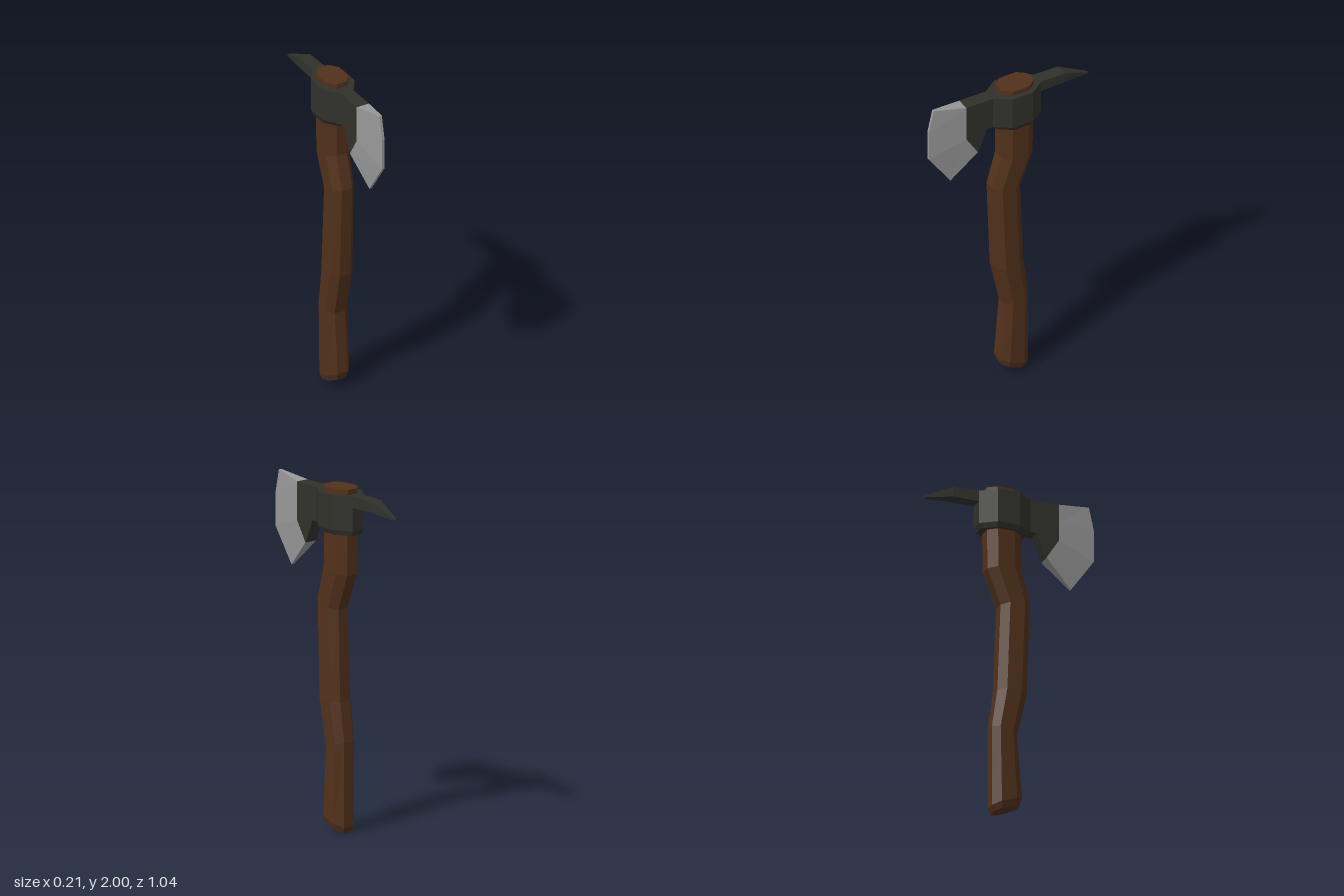
import * as THREE from 'three';

const wood = new THREE.MeshStandardMaterial({ color: 0x52311b, flatShading: true });
const iron = new THREE.MeshStandardMaterial({ color: 0x31312c, flatShading: true });
const steel = new THREE.MeshStandardMaterial({ color: 0x999999, flatShading: true });

// Skin a list of equal-sized rings of [x, y, z] and cap both ends; faces point outwards.
function loft(rings) {
  const tris = [];
  const n = rings[0].length;
  for (let r = 0; r < rings.length - 1; r++) {
    for (let i = 0; i < n; i++) {
      const j = (i + 1) % n;
      const [a, b, c, d] = [rings[r][i], rings[r][j], rings[r + 1][j], rings[r + 1][i]];
      tris.push([a, b, c], [a, c, d]);
    }
  }
  const first = rings[0], last = rings[rings.length - 1];
  for (let i = 1; i < n - 1; i++) {
    tris.push([first[0], first[i + 1], first[i]], [last[0], last[i], last[i + 1]]);
  }
  // A negative enclosed volume means the winding must be reversed.
  const v = (p) => new THREE.Vector3(...p);
  const volume = tris.reduce((s, [a, b, c]) => s + v(a).dot(v(b).cross(v(c))), 0);
  if (volume < 0) tris.forEach((t) => t.reverse());
  const geo = new THREE.BufferGeometry();
  geo.setAttribute('position', new THREE.Float32BufferAttribute(tris.flat(2), 3));
  geo.computeVertexNormals();
  return geo;
}

// Eight-sided ring between a front and a back point [z, y].
function octagon(front, back, halfX, flatX, t) {
  const at = (x, k) => [
    x,
    THREE.MathUtils.lerp(front[1], back[1], k),
    THREE.MathUtils.lerp(front[0], back[0], k),
  ];
  return [
    at(flatX, 0), at(halfX, t), at(halfX, 1 - t), at(flatX, 1),
    at(-flatX, 1), at(-halfX, 1 - t), at(-halfX, t), at(-flatX, 0),
  ];
}

function add(group, name, geometry, material) {
  const mesh = new THREE.Mesh(geometry, material);
  mesh.name = name;
  group.add(mesh);
}

export function createModel() {
  const axe = new THREE.Group();
  axe.name = 'axe';

  // Curved handle: front point, back point, half width
  const handle = [
    [[0.06, 0.065], [-0.095, 0.005], 0.058],
    [[0.074, 0.11], [-0.11, 0.04], 0.07],
    [[0.042, 0.49], [-0.11, 0.53], 0.07],
    [[0.1, 0.76], [-0.078, 0.76], 0.075],
    [[0.122, 1.33], [-0.058, 1.29], 0.07],
    [[0.065, 1.53], [-0.138, 1.5], 0.076],
    [[0.064, 2.0], [-0.146, 2.0], 0.076],
  ].map(([f, b, w]) => octagon(f, b, w, w * 0.47, 0.25));
  add(axe, 'handle', loft(handle), wood);

  // Socket around the handle, chamfered underneath
  const socket = [
    [0.09, -0.18, 1.74, 0.09, 0.036],
    [0.122, -0.192, 1.77, 0.103, 0.04],
    [0.122, -0.192, 1.97, 0.103, 0.04],
  ].map(([f, b, y, w, flat]) => octagon([f, y], [b, y], w, flat, 0.29));
  add(axe, 'socket', loft(socket), iron);

  // Neck joining socket and blade, drawn in the z-y plane
  const neck = new THREE.Shape(
    [[0.12, 1.97], [0.12, 1.77], [0.16, 1.77], [0.22, 1.63], [0.295, 1.75], [0.295, 1.97]]
      .map(([z, y]) => new THREE.Vector2(z, y)),
  );
  const neckGeo = new THREE.ExtrudeGeometry(neck, { depth: 0.08, bevelEnabled: false });
  neckGeo.rotateY(-Math.PI / 2).translate(0.04, 0, 0);
  add(axe, 'neck', neckGeo, iron);

  // Wedge blade: inner point and cutting-edge point [z, y] of each row
  const blade = [
    [[0.22, 1.63], [0.38, 1.47]],
    [[0.295, 1.75], [0.52, 1.67]],
    [[0.295, 1.86], [0.52, 1.86]],
    [[0.295, 1.97], [0.49, 2.0]],
  ].map(([[z0, y0], [z1, y1]]) => [
    [-0.04, y0, z0], [-0.008, y1, z1], [0.008, y1, z1], [0.04, y0, z0],
  ]);
  add(axe, 'blade', loft(blade), steel);

  // Back spike: z, half width, bottom, top
  const spike = [
    [-0.19, 0.04, 1.905, 1.97],
    [-0.345, 0.038, 1.908, 1.968],
    [-0.518, 0.008, 1.885, 1.893],
  ].map(([z, w, y0, y1]) => [[-w, y0, z], [w, y0, z], [w, y1, z], [-w, y1, z]]);
  add(axe, 'spike', loft(spike), iron);

  return axe;
}
